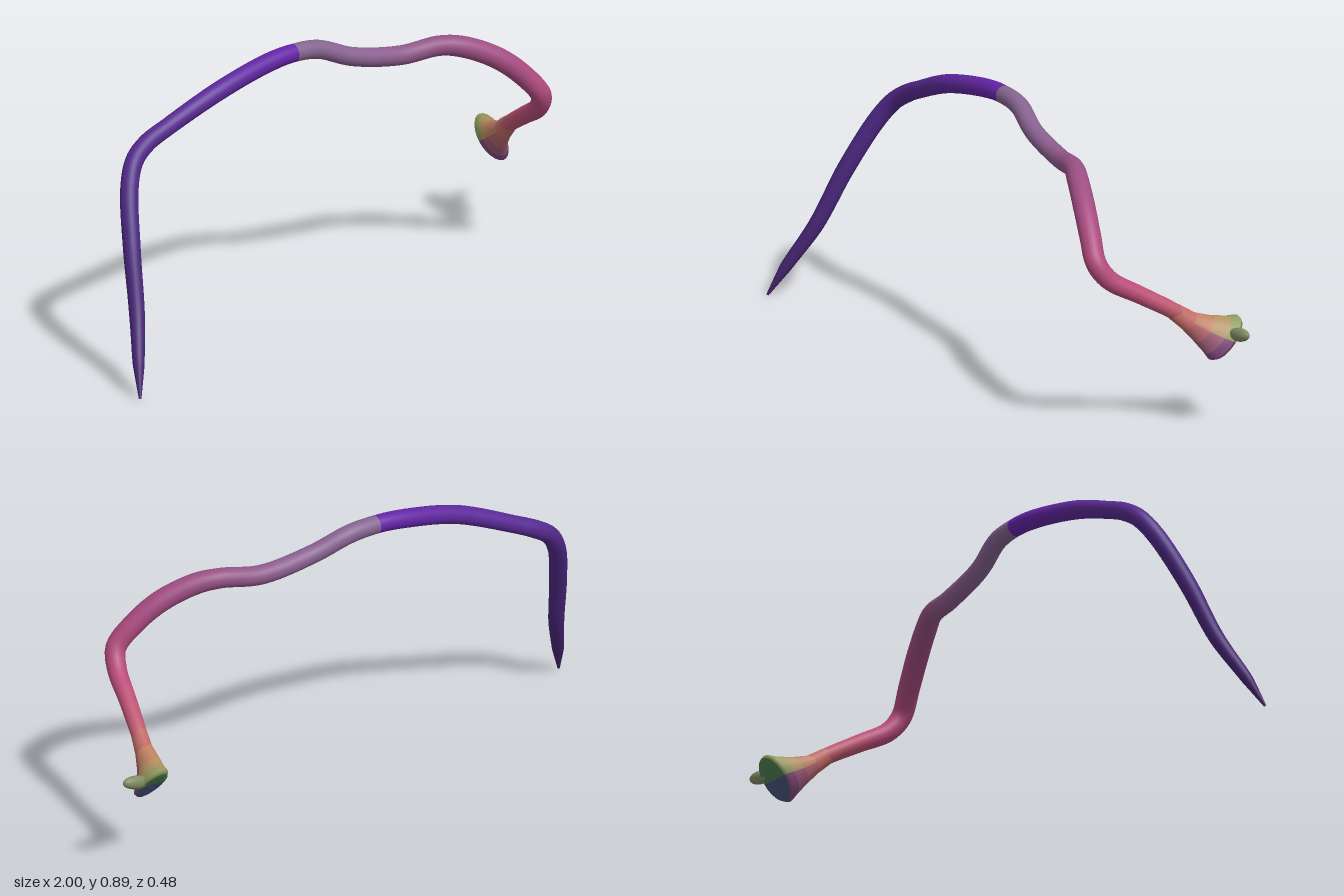
import * as THREE from 'three';

const SIDES = 24;
const vec = (x, y, z) => new THREE.Vector3(x, y, z);

// Surface through a row of elliptical rings { c, u, v, ru, rv }, with u x v along the row
function loft(rings) {
  const pos = [], p = new THREE.Vector3();
  for (const { c, u, v, ru, rv } of rings) {
    for (let j = 0; j < SIDES; j++) {
      const a = (j / SIDES) * Math.PI * 2;
      p.copy(c).addScaledVector(u, Math.cos(a) * ru).addScaledVector(v, Math.sin(a) * rv);
      pos.push(p.x, p.y, p.z);
    }
  }
  const geo = new THREE.BufferGeometry();
  geo.setAttribute('position', new THREE.Float32BufferAttribute(pos, 3));
  geo.setIndex(patchIndex(0, rings.length - 1, 0, SIDES));
  geo.computeVertexNormals();
  return geo;
}

function patchIndex(i0, i1, j0, j1) {
  const index = [];
  for (let i = i0; i < i1; i++) {
    for (let j = j0; j < j1; j++) {
      const a = i * SIDES + (j % SIDES), b = i * SIDES + ((j + 1) % SIDES);
      index.push(a, b, a + SIDES, b, b + SIDES, a + SIDES);
    }
  }
  return index;
}

// One coloured patch of a loft; patches share normals, so no seams show
function patch(name, geo, color, i0, i1, j0 = 0, j1 = SIDES) {
  const part = new THREE.BufferGeometry();
  part.setAttribute('position', geo.attributes.position);
  part.setAttribute('normal', geo.attributes.normal);
  part.setIndex(patchIndex(i0, i1, j0, j1));
  const mesh = new THREE.Mesh(part, new THREE.MeshStandardMaterial({ color }));
  mesh.name = name;
  return mesh;
}

// Centreline from the pointed tip to the flared end: x, y, z, radius
const SPINE = [
  [-0.997, 0.004, 0.218, 0.004],
  [-0.96, 0.1, 0.172, 0.019],
  [-0.9, 0.24, 0.1, 0.025],
  [-0.85, 0.42, 0.024, 0.028],
  [-0.79, 0.58, -0.05, 0.029],
  [-0.74, 0.652, -0.08, 0.029],
  [-0.68, 0.693, -0.088, 0.029],
  [-0.6, 0.73, -0.078, 0.028],
  [-0.4, 0.81, -0.05, 0.03],
  [-0.2, 0.852, -0.045, 0.03],
  [-0.1, 0.86, -0.04, 0.029],
  [0, 0.851, -0.03, 0.03],
  [0.12, 0.805, 0, 0.03],
  [0.3, 0.773, 0.03, 0.031],
  [0.43, 0.783, 0.07, 0.032],
  [0.5, 0.77, 0.105, 0.034],
  [0.6, 0.72, 0.153, 0.035],
  [0.68, 0.65, 0.187, 0.034],
  [0.735, 0.58, 0.204, 0.033],
  [0.757, 0.525, 0.17, 0.031],
  [0.788, 0.465, 0.073, 0.028],
  [0.822, 0.402, -0.03, 0.026],
  [0.836, 0.367, -0.075, 0.024],
];
const SPLIT = 10; // centreline point where the dark half ends

const DARK = [0x46256e, 0x4a2880, 0x5a2a94, 0x6622aa];
const LIGHT = [0x84648f, 0x8a6090, 0x945084, 0xa84a80, 0xbc4c78, 0xbf6068];

function ramp(colors, t) {
  const f = THREE.MathUtils.clamp(t, 0, 1) * (colors.length - 1);
  const i = Math.min(Math.floor(f), colors.length - 2);
  return new THREE.Color(colors[i]).lerp(new THREE.Color(colors[i + 1]), f - i);
}

function buildBody() {
  const group = new THREE.Group();
  group.name = 'body';
  const curve = new THREE.CatmullRomCurve3(SPINE.map(([x, y, z]) => vec(x, y, z)));
  const last = SPINE.length - 1, N = 180, STEP = 4;
  const frames = curve.computeFrenetFrames(N);
  const place = [], rings = [];
  for (let i = 0; i <= N; i++) {
    const s = curve.getUtoTmapping(i / N) * last;
    const k = Math.min(Math.floor(s), last - 1);
    const r = THREE.MathUtils.lerp(SPINE[k][3], SPINE[k + 1][3], s - k);
    place.push(s);
    rings.push({ c: curve.getPointAt(i / N), u: frames.normals[i], v: frames.binormals[i], ru: r, rv: r });
  }
  const geo = loft(rings);
  const split = place.findIndex((s) => s >= SPLIT);
  for (let i = 0; i < split; i += STEP) {
    group.add(patch('darkHalf', geo, ramp(DARK, i / split), i, Math.min(i + STEP, split)));
  }
  for (let i = split; i < N; i += STEP) {
    group.add(patch('lightHalf', geo, ramp(LIGHT, (i - split) / (N - split)), i, Math.min(i + STEP, N)));
  }
  return group;
}

function buildFlare() {
  const group = new THREE.Group();
  group.name = 'flaredEnd';
  const u = vec(1, 0, 0);
  // x, y, z, half width, half height; the last rings close the slightly hollow face
  const rings = [
    [0.822, 0.402, -0.03, 0.026, 0.027],
    [0.838, 0.363, -0.078, 0.028, 0.033],
    [0.853, 0.333, -0.123, 0.036, 0.05],
    [0.873, 0.313, -0.158, 0.046, 0.069],
    [0.884, 0.303, -0.178, 0.053, 0.083],
    [0.887, 0.297, -0.188, 0.048, 0.076],
    [0.888, 0.297, -0.188, 0.03, 0.048],
    [0.888, 0.299, -0.185, 0.001, 0.001],
  ].map(([x, y, z, ru, rv]) => ({ c: vec(x, y, z), u, v: vec(0, -0.76, 0.65), ru, rv }));
  const geo = loft(rings);
  const half = SIDES / 2;
  group.add(
    patch('flareNeck', geo, 0xc06a66, 0, 1),
    patch('flareUnderside', geo, 0xb0646c, 1, 2, 0, half),
    patch('flareTop', geo, 0xc08062, 1, 2, half, SIDES),
    patch('flareUnderside', geo, 0x9a5a78, 2, 3, 0, half),
    patch('flareTop', geo, 0xb09060, 2, 3, half, SIDES),
    patch('lowerRim', geo, 0x804a7c, 3, 5, 0, half),
    patch('upperRim', geo, 0x8f9a5c, 3, 5, half, SIDES),
    patch('lowerFace', geo, 0x46557c, 5, 7, 0, half),
    patch('upperFace', geo, 0x4f7c52, 5, 7, half, SIDES),
  );

  // Small lobe growing out of the side of the rim
  const lobe = new THREE.Mesh(
    new THREE.SphereGeometry(1, 24, 16),
    new THREE.MeshStandardMaterial({ color: 0x7f8a62 }),
  );
  lobe.name = 'sideLobe';
  lobe.scale.set(0.05, 0.022, 0.018);
  lobe.position.set(0.951, 0.327, -0.19);
  lobe.rotation.z = 0.2;
  group.add(lobe);
  return group;
}

export function createModel() {
  const model = new THREE.Group();
  model.name = 'bentTaperedHorn';
  model.add(buildBody(), buildFlare());
  return model;
}
